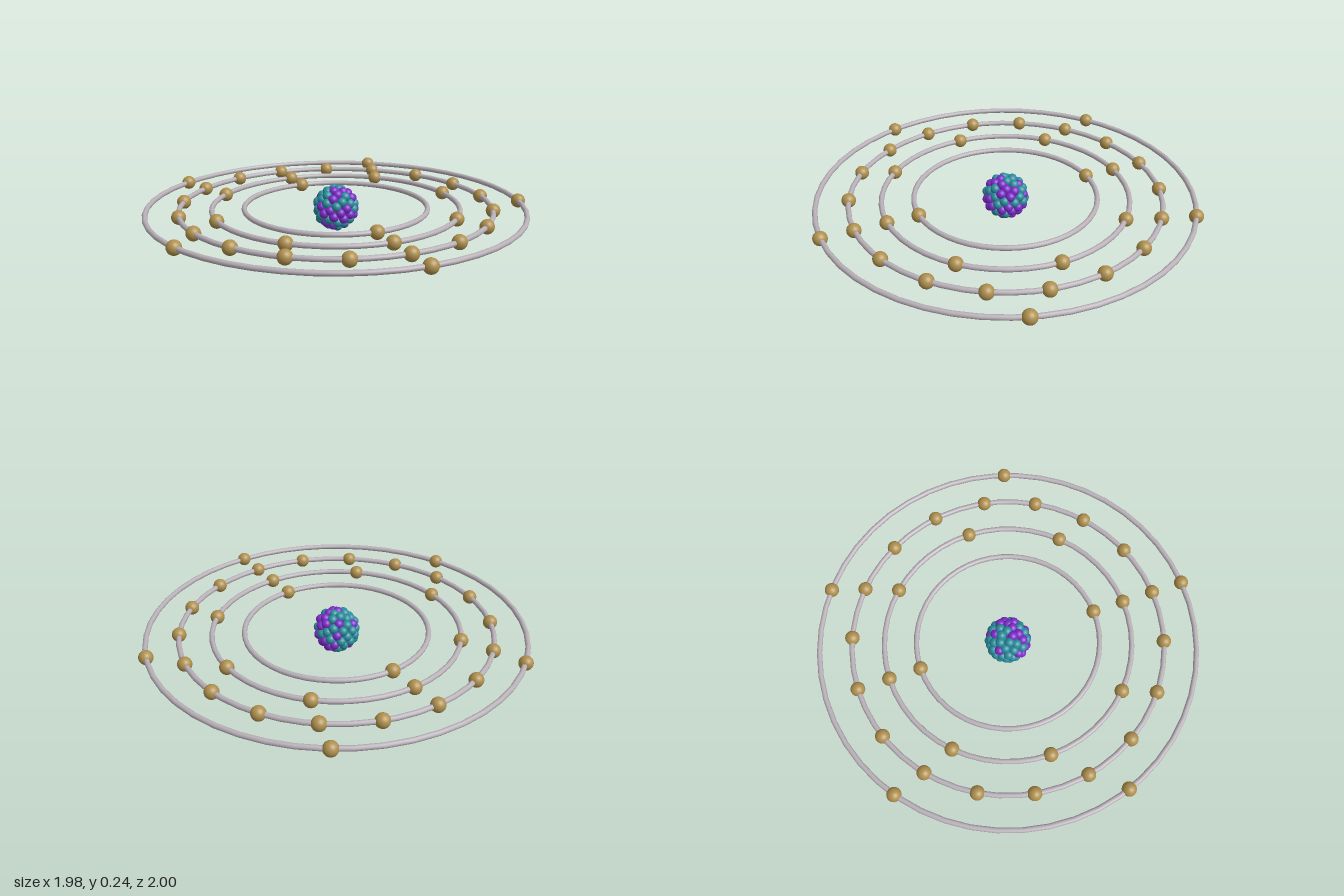
import * as THREE from 'three';

const CENTRE = new THREE.Vector3(0, 0.127, -0.012);
const material = (color) => new THREE.MeshStandardMaterial({ color });

export function createModel() {
  const model = new THREE.Group();
  model.name = 'atom';
  const ringMat = material(0xb9b0b8);
  const electronMat = material(0xae8f4e);
  const protonMat = material(0x7d2bc9);
  const neutronMat = material(0x2a8e9e);

  const add = (parent, name, geometry, mat, position) => {
    const mesh = new THREE.Mesh(geometry, mat);
    mesh.name = name;
    if (position) mesh.position.copy(position);
    parent.add(mesh);
  };

  // Electron shells: a thin ring with evenly spaced electrons, starting at +z
  const electronGeo = new THREE.SphereGeometry(0.037, 24, 16);
  [[0.475, 2], [0.641, 8], [0.808, 18], [0.975, 5]].forEach(([radius, count], i) => {
    const shell = new THREE.Group();
    shell.name = `electronShell${i + 1}`;
    shell.position.copy(CENTRE);
    const ring = new THREE.TorusGeometry(radius, 0.0135, 12, 48).rotateX(Math.PI / 2);
    add(shell, 'orbitRing', ring, ringMat);
    for (let k = 0; k < count; k++) {
      const a = (k / count) * Math.PI * 2;
      const p = new THREE.Vector3(Math.sin(a) * radius, 0, Math.cos(a) * radius);
      add(shell, 'electron', electronGeo, electronMat, p);
    }
    model.add(shell);
  });

  // Nucleus: two nested spiral-packed layers of protons and neutrons
  const nucleus = new THREE.Group();
  nucleus.name = 'nucleus';
  nucleus.position.set(0, 0.122, CENTRE.z);
  const nucleonGeo = new THREE.SphereGeometry(0.025, 20, 14);
  let seed = 11;
  const random = () => (seed = (seed * 16807) % 2147483647) / 2147483647;
  for (let i = 0; i < 10; i++) random();
  const golden = Math.PI * (3 - Math.sqrt(5));
  [[0.096, 76], [0.06, 30]].forEach(([radius, count]) => {
    for (let i = 0; i < count; i++) {
      const y = 1 - (2 * i + 1) / count;
      const r = Math.sqrt(1 - y * y);
      const p = new THREE.Vector3(Math.cos(i * golden) * r, y, Math.sin(i * golden) * r);
      p.multiplyScalar(radius + (random() - 0.5) * 0.006);
      const isProton = random() < 0.43;
      add(nucleus, isProton ? 'proton' : 'neutron', nucleonGeo, isProton ? protonMat : neutronMat, p);
    }
  });
  model.add(nucleus);

  return model;
}
